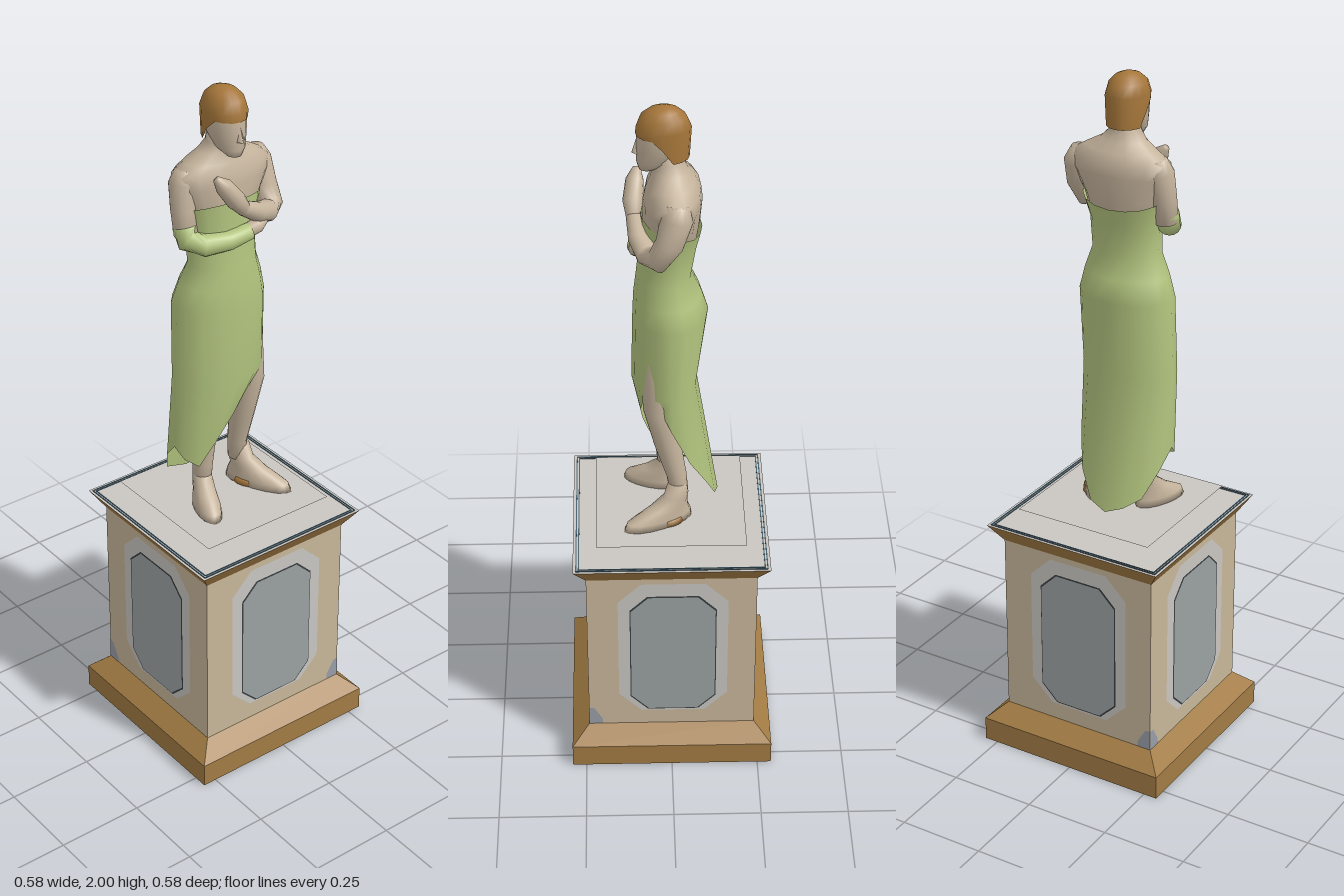
import * as THREE from 'three';

const N = 16; // points around each cross-section

function mat(name, color, double) {
  const m = new THREE.MeshStandardMaterial({ color });
  m.name = name;
  if (double) m.side = THREE.DoubleSide;
  return m;
}

// Elliptical level section; y may be a rule of the index, front and back depths may differ
function ring(y, cx, rx, cz, rzFront, rzBack = rzFront) {
  return Array.from({ length: N }, (_, i) => {
    const a = (i / N) * Math.PI * 2, s = Math.sin(a);
    return new THREE.Vector3(cx + rx * Math.cos(a), typeof y === 'function' ? y(i) : y,
      cz + (s > 0 ? rzFront : rzBack) * s);
  });
}

// Smooth skin over sections listed from bottom to top
function loft(rings, capStart = true, capEnd = true) {
  const points = rings.flat(), index = [];
  for (let r = 0; r < rings.length - 1; r++) {
    for (let i = 0; i < N; i++) {
      const j = (i + 1) % N, a = r * N + i, a2 = r * N + j;
      index.push(a, a + N, a2, a2, a + N, a2 + N);
    }
  }
  const cap = (r, flip) => {
    const c = points.length;
    points.push(rings[r].reduce((s, p) => s.add(p), new THREE.Vector3()).divideScalar(N));
    for (let i = 0; i < N; i++) {
      const a = r * N + i, b = r * N + (i + 1) % N;
      if (flip) index.push(c, b, a); else index.push(c, a, b);
    }
  };
  if (capStart) cap(0, false);
  if (capEnd) cap(rings.length - 1, true);
  const g = new THREE.BufferGeometry().setFromPoints(points);
  g.setIndex(index);
  g.computeVertexNormals();
  return g;
}

// Tapering limb along [x, y, z, radius] points
function limb(pts) {
  const p = pts.map(q => new THREE.Vector3(q[0], q[1], q[2]));
  return loft(p.map((c, k) => {
    const t = p[Math.min(k + 1, p.length - 1)].clone().sub(p[Math.max(k - 1, 0)]).normalize();
    const u = new THREE.Vector3(0, 0, 1);
    u.addScaledVector(t, -u.dot(t)).normalize();
    const v = u.clone().cross(t);
    return Array.from({ length: N }, (_, i) => {
      const a = (i / N) * Math.PI * 2;
      return c.clone().addScaledVector(u, Math.cos(a) * pts[k][3]).addScaledVector(v, Math.sin(a) * pts[k][3]);
    });
  }));
}

// Open four-sided band of the pedestal, given half widths
function band(y0, y1, h0, h1) {
  let g = new THREE.CylinderGeometry(h1 * Math.SQRT2, h0 * Math.SQRT2, y1 - y0, 4, 1, true);
  g = g.rotateY(Math.PI / 4).translate(0, (y0 + y1) / 2, 0).toNonIndexed();
  g.computeVertexNormals();
  return g;
}

// Flat plate with clipped corners
function plate(hw, y0, y1, c, z) {
  const s = new THREE.Shape([
    [-hw + c, y0], [hw - c, y0], [hw, y0 + c], [hw, y1 - c],
    [hw - c, y1], [-hw + c, y1], [-hw, y1 - c], [-hw, y0 + c],
  ].map(q => new THREE.Vector2(q[0], q[1])));
  return new THREE.ShapeGeometry(s).translate(0.004, 0, z);
}

export function createModel() {
  const model = new THREE.Group();
  model.name = 'statueOnPedestal';
  const skin = mat('stone skin', 0xc4b39c);
  const cloth = mat('green cloth', 0xb2c47e, true);
  const hairMat = mat('bronze hair', 0xa5763a);
  const brown = mat('brown moulding', 0xa27b44, true);
  const beige = mat('beige shaft', 0xc7b699, true);
  const panelMat = mat('grey panel', 0x9ba1a2);
  const pale = mat('pale stone', 0xc9c6c1, true);
  const dark = mat('dark line', 0x3a3f42);
  const blue = mat('blue trim', 0x45606f);
  const patchMat = mat('blue grey patch', 0x989da6);
  const add = (name, g, m, parent = model) => {
    const mesh = new THREE.Mesh(g, m);
    mesh.name = name;
    parent.add(mesh);
    return mesh;
  };

  // Pedestal
  add('baseWall', band(0, 0.07, 0.29, 0.29), brown);
  add('baseBevel', band(0.07, 0.117, 0.29, 0.24), brown);
  add('shaft', band(0.117, 0.657, 0.24, 0.24), beige);
  add('cornice', band(0.657, 0.71, 0.24, 0.275), brown);
  const flat = (h, y) => new THREE.PlaneGeometry(h * 2, h * 2).rotateX(-Math.PI / 2).translate(0, y, 0);
  add('pedestalTop', flat(0.275, 0.71), pale);
  add('standingPlate', flat(0.21, 0.75), pale);

  // Framed panels, corner patches and top trim on each side
  for (let i = 0; i < 4; i++) {
    const side = new THREE.Group();
    side.name = 'pedestalSide' + (i + 1);
    side.rotation.y = i * Math.PI / 2;
    model.add(side);
    add('panelFrame', plate(0.156, 0.168, 0.64, 0.065, 0.2415), pale, side);
    add('panelEdge', plate(0.123, 0.174, 0.597, 0.05, 0.243), dark, side);
    add('panel', plate(0.12, 0.178, 0.593, 0.05, 0.2445), panelMat, side);
    const s = i % 2 ? -1 : 1;
    const patch = new THREE.Shape([[0.24, 0.118], [0.24, 0.18], [0.225, 0.178], [0.2, 0.135], [0.2, 0.118]]
      .map(q => new THREE.Vector2(q[0] * s, q[1])));
    add('cornerPatch', new THREE.ShapeGeometry(patch).translate(0, 0, 0.2415), patchMat, side);
    for (const z of [0.259, 0.266])
      add('topTrim', new THREE.BoxGeometry(z * 2, 0.002, 0.003).translate(0, 0.711, z), blue, side);
  }

  // Legs and feet
  add('leftLeg', limb([[0.068, 0.83, -0.025, 0.026], [0.064, 0.89, -0.018, 0.028], [0.06, 1.0, 0.008, 0.037],
    [0.066, 1.12, 0.034, 0.041], [0.05, 1.3, 0.02, 0.055]]), skin);
  add('rightLeg', limb([[-0.079, 0.82, 0.005, 0.027], [-0.078, 0.88, 0.008, 0.029], [-0.08, 0.98, 0.015, 0.037],
    [-0.08, 1.1, 0.03, 0.041], [-0.08, 1.3, 0.0, 0.055]]), skin);
  for (const [name, x, z, yaw, len] of [['leftFoot', 0.1, 0.035, 0.43, 1], ['rightFoot', -0.095, 0.05, -0.35, 0.8]]) {
    const foot = add(name, loft([
      ring(0.751, 0, 0.036, 0, 0.105), ring(0.773, 0, 0.035, -0.003, 0.098),
      ring(0.8, 0, 0.031, -0.03, 0.06), ring(0.83, 0, 0.028, -0.055, 0.036), ring(0.87, 0, 0.026, -0.06, 0.027),
    ]), skin);
    foot.position.set(x, 0, z);
    foot.rotation.y = yaw;
    foot.scale.z = len;
  }
  const sole = add('sandalSide', loft([ring(0.752, 0, 0.039, -0.03, 0.05), ring(0.77, 0, 0.037, -0.03, 0.045)]), hairMat);
  sole.position.set(0.1, 0, 0.035);
  sole.rotation.y = 0.43;

  // Draped dress with a slit over the left leg and a trailing back
  const hem = [1.06, 1.13, 1.155, 1.11, 1.05, 0.98, 0.905, 0.925,
    0.955, 0.9, 0.825, 0.795, 0.775, 0.795, 0.87, 0.95];
  add('dress', loft([
    ring(i => hem[i], -0.028, 0.137, -0.005, 0.085, 0.132),
    ring(1.17, -0.024, 0.14, 0, 0.105, 0.075),
    ring(1.39, -0.018, 0.138, 0, 0.1, 0.104),
    ring(1.45, -0.015, 0.122, 0.003, 0.094, 0.088),
    ring(1.51, -0.012, 0.1, 0.005, 0.085, 0.063),
    ring(1.6, -0.014, 0.103, 0, 0.08, 0.074),
    ring(i => 1.675 + 0.025 * Math.sin(i / N * Math.PI * 2), -0.012, 0.122, -0.003, 0.081, 0.083),
  ], false, false), cloth);

  // Torso, shoulders and neck
  add('torso', loft([
    ring(1.56, -0.012, 0.088, 0.002, 0.065), ring(1.67, -0.01, 0.113, -0.004, 0.076),
    ring(1.74, -0.004, 0.148, -0.008, 0.078), ring(1.775, -0.004, 0.148, -0.01, 0.072),
    ring(1.8, -0.006, 0.108, -0.008, 0.06), ring(1.825, -0.009, 0.065, -0.003, 0.046),
    ring(1.85, -0.01, 0.042, 0.003, 0.04), ring(1.9, -0.01, 0.038, 0.008, 0.038),
  ]), skin);

  // Left arm folded upward to the opposite shoulder
  add('leftArm', limb([[0.112, 1.78, -0.018, 0.03], [0.12, 1.745, -0.016, 0.043], [0.13, 1.68, 0.003, 0.038],
    [0.132, 1.63, 0.035, 0.033], [0.1, 1.63, 0.06, 0.031], [0.05, 1.65, 0.083, 0.027], [-0.01, 1.685, 0.095, 0.02]]), skin);
  add('leftHand', limb([[0.0, 1.675, 0.094, 0.018], [-0.032, 1.715, 0.096, 0.027], [-0.065, 1.76, 0.09, 0.024],
    [-0.086, 1.785, 0.084, 0.01]]), skin);

  // Right arm across the waist, forearm wrapped in cloth
  add('rightArm', limb([[-0.115, 1.785, -0.012, 0.028], [-0.122, 1.75, -0.01, 0.04], [-0.13, 1.68, 0.0, 0.035],
    [-0.132, 1.61, 0.012, 0.032]]), skin);
  add('rightSleeve', limb([[-0.134, 1.635, 0.01, 0.033], [-0.134, 1.6, 0.022, 0.033], [-0.1, 1.588, 0.055, 0.031],
    [-0.04, 1.594, 0.08, 0.027], [0.02, 1.607, 0.09, 0.023]]), cloth);
  add('rightHand', limb([[0.01, 1.607, 0.088, 0.019], [0.045, 1.615, 0.088, 0.021], [0.075, 1.622, 0.082, 0.012]]), skin);

  // Head, nose and hair
  add('face', loft([
    ring(1.825, -0.01, 0.02, 0.058, 0.022), ring(1.845, -0.01, 0.037, 0.042, 0.044),
    ring(1.885, -0.01, 0.048, 0.022, 0.065), ring(1.93, -0.01, 0.053, 0.018, 0.067),
    ring(1.965, -0.01, 0.046, 0.016, 0.058),
  ]), skin);
  add('nose', new THREE.ConeGeometry(0.012, 0.04, 4).translate(-0.01, 1.89, 0.086), skin);
  const hairline = i => {
    const s = Math.sin(i / N * Math.PI * 2);
    return s > 0.3 ? 1.925 : s > -0.2 ? 1.9 : 1.86;
  };
  add('hair', loft([
    ring(hairline, -0.01, 0.055, 0.018, 0.07, 0.07), ring(1.945, -0.01, 0.057, 0.017, 0.07, 0.074),
    ring(1.975, -0.01, 0.049, 0.016, 0.06), ring(1.992, -0.01, 0.033, 0.015, 0.04), ring(2.0, -0.01, 0.014, 0.014, 0.018),
  ], false, true), hairMat);

  return model;
}
